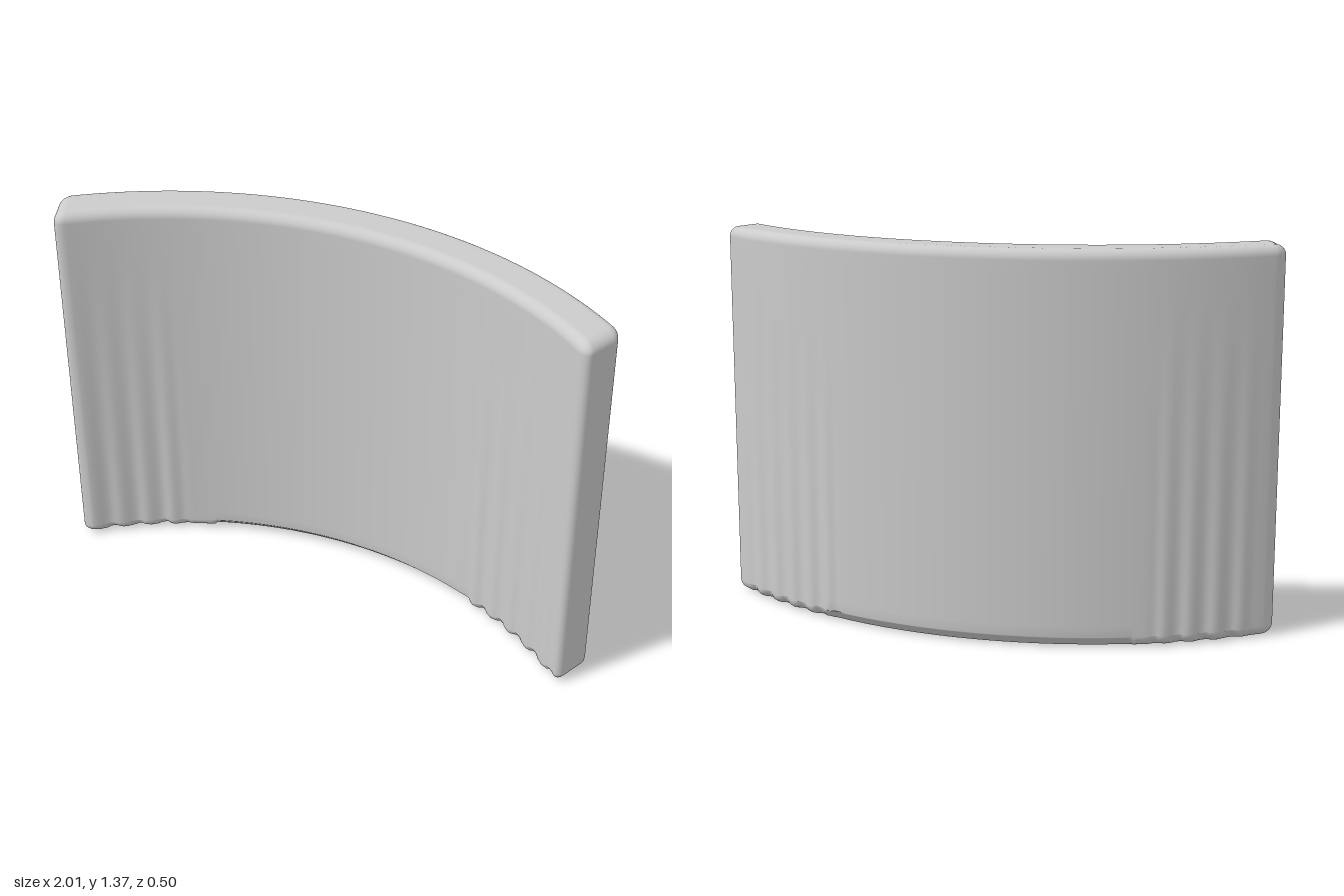
import * as THREE from 'three';
import { mergeVertices } from 'three/addons/utils/BufferGeometryUtils.js';

const HEIGHT = 1.37, DEPTH = 0.165, EDGE = 0.037;
const OUTER = { radius: 1.6, half: 1.015, z: -0.25 };
const INNER = { radius: 1.45, half: 0.95, z: -0.085 };

// Respaces a uniform grid so that `k` steps fall inside each rounded edge.
function respace(p, half, n, k) {
  const i = Math.round((p / (2 * half) + 0.5) * n);
  const curve = (j) => EDGE * Math.tan((j / k) * Math.PI / 4);
  if (i <= k) return -half + EDGE - curve(k - i);
  if (i >= n - k) return half - EDGE + curve(i - n + k);
  return THREE.MathUtils.lerp(-half + EDGE, half - EDGE, (i - k) / (n - 2 * k));
}

const arcZ = (arc, x) => arc.z + arc.radius - Math.sqrt(arc.radius ** 2 - x * x);

// Shallow vertical flutes near both ends, fading out upwards.
function flute(x) {
  const start = x > 0 ? 0.48 : 0.6;
  const s = THREE.MathUtils.smoothstep(Math.abs(x), start, start + 0.06)
    * (1 - THREE.MathUtils.smoothstep(Math.abs(x), 0.9, 0.96));
  return s * Math.sin((Math.abs(x) - start) * 2 * Math.PI / 0.083);
}

function curvedSlabGeometry() {
  const half = new THREE.Vector3(1, HEIGHT / 2, DEPTH / 2);
  const n = [180, 44, 16], k = 5;
  const geo = new THREE.BoxGeometry(2, HEIGHT, DEPTH, ...n);
  const pos = geo.attributes.position;
  const p = new THREE.Vector3(), core = new THREE.Vector3(), limit = half.clone().subScalar(EDGE);
  const low = limit.clone().negate();
  for (let i = 0; i < pos.count; i++) {
    p.fromBufferAttribute(pos, i);
    p.set(respace(p.x, half.x, n[0], k), respace(p.y, half.y, n[1], k), respace(p.z, half.z, n[2], k));

    // Rounded edges, with a flat bevel along the middle of the bottom.
    core.copy(p).clamp(low, limit);
    p.sub(core);
    const bevel = core.y === low.y && p.y < 0 && Math.abs(core.x) < 0.55;
    const length = bevel ? Math.abs(p.x) + Math.abs(p.y) + Math.abs(p.z) : p.length();
    if (length > 0) p.multiplyScalar(EDGE / length);
    const rim = p.y < 0 ? Math.abs(p.z) / EDGE : 0;
    p.add(core);

    // Bend between the outer and inner arcs.
    const v = p.z / DEPTH + 0.5;
    const xo = p.x * OUTER.half, xi = p.x * INNER.half;
    const x = THREE.MathUtils.lerp(xo, xi, v);
    let z = THREE.MathUtils.lerp(arcZ(OUTER, xo), arcZ(INNER, xi), v);
    let y = p.y + HEIGHT / 2;

    // Flutes press into both faces and scallop the bottom rim.
    const wave = flute(x);
    const fade = Math.max(0, 1 - y / 1.2);
    z -= wave * 0.006 * fade * (2 * v - 1);
    y += (0.5 + 0.5 * wave) * 0.014 * rim * Math.min(1, Math.abs(wave) * 2);
    pos.setXYZ(i, x, y, z);
  }
  geo.deleteAttribute('normal');
  geo.deleteAttribute('uv');
  const smooth = mergeVertices(geo, 1e-5);
  smooth.computeVertexNormals();
  return smooth;
}

export function createModel() {
  const group = new THREE.Group();
  group.name = 'curvedPanel';
  const slab = new THREE.Mesh(curvedSlabGeometry(), new THREE.MeshStandardMaterial({ color: 0xcccccc }));
  slab.name = 'curvedSlab';
  group.add(slab);
  return group;
}
